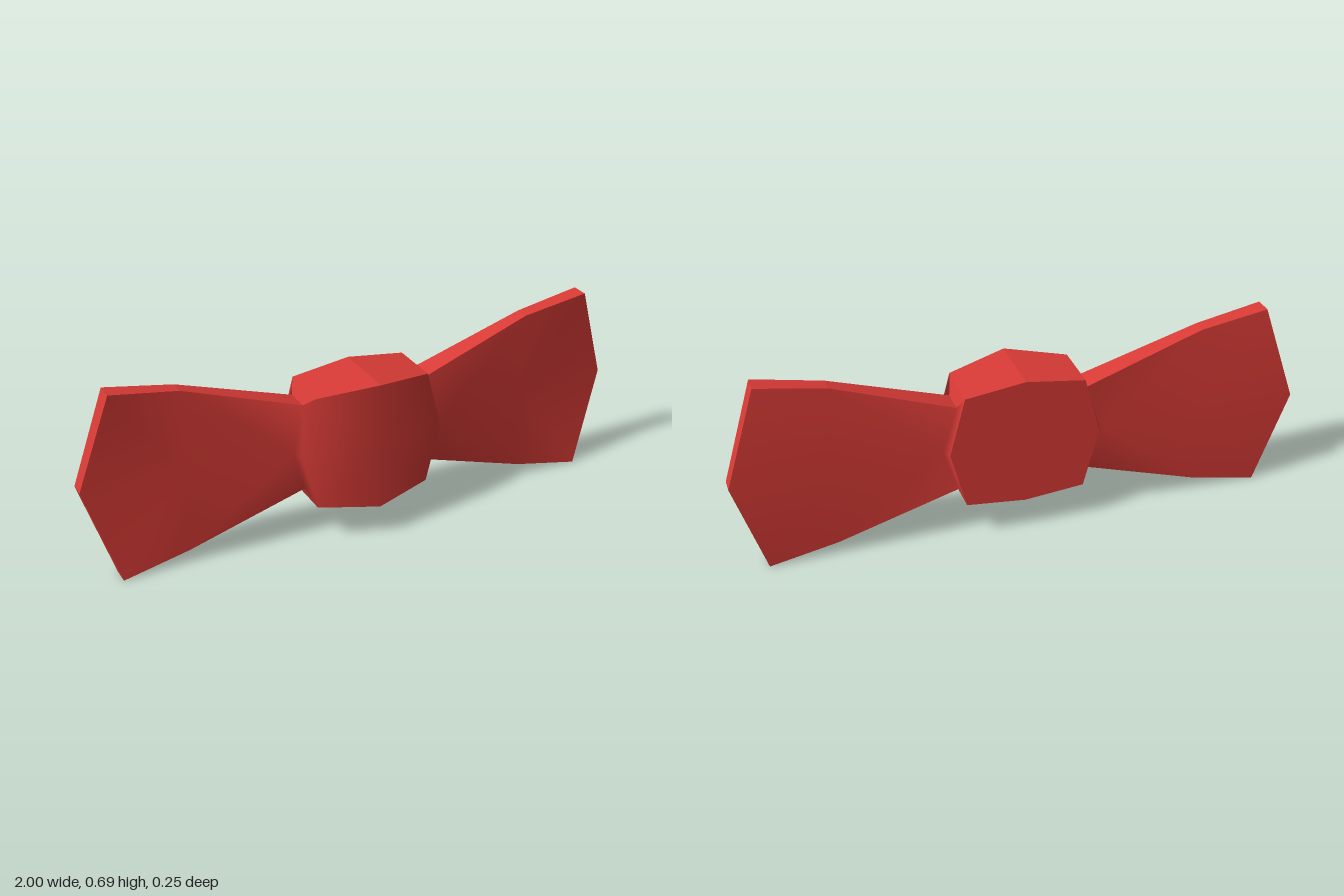
import * as THREE from 'three';

// Cross-sections of the right half, from the knot centre outwards:
// x at edges, x at middle, top y, bottom y, front z edge/middle, back z edge/middle
const MID_Y = 0.346;
const SECTIONS = [
  [0.0, 0.0, 0.584, 0.117, 0.123, 0.123, -0.123, -0.123],  // knot centre
  [0.21, 0.265, 0.555, 0.138, 0.065, 0.062, -0.123, -0.123], // knot rim
  [0.23, 0.28, 0.507, 0.185, 0.0, 0.033, -0.087, -0.088],  // wing root
  [0.65, 0.65, 0.648, 0.046, -0.02, -0.03, -0.072, -0.094], // wing middle
  [0.89, 1.0, 0.69, 0.0, -0.011, -0.046, -0.075, -0.1],    // wing tip
];

// Column of three points (top, middle, bottom) for section i = -4..4
function column(i, back) {
  const [xe, xm, top, bottom, fe, fm, be, bm] = SECTIONS[Math.abs(i)];
  const s = Math.sign(i);
  const ze = back ? be : fe;
  const zm = back ? bm : fm;
  return [[s * xe, top, ze], [s * xm, MID_Y, zm], [s * xe, bottom, ze]];
}

// Surface through columns of points; outward side faces +z when columns run along +x
function skin(columns, flip, flat, diagonal = () => false) {
  const rows = columns[0].length;
  const index = [];
  for (let c = 0; c < columns.length - 1; c++) {
    for (let r = 0; r < rows - 1; r++) {
      const a = c * rows + r, b = a + 1, d = a + rows, e = d + 1;
      const tris = diagonal(c, r) ? [[a, b, e], [a, e, d]] : [[a, b, d], [b, e, d]];
      for (const [p, q, t] of tris) index.push(...(flip ? [p, t, q] : [p, q, t]));
    }
  }
  let geometry = new THREE.BufferGeometry();
  geometry.setAttribute('position', new THREE.Float32BufferAttribute(columns.flat(2), 3));
  geometry.setIndex(index);
  if (flat) geometry = geometry.toNonIndexed();
  geometry.computeVertexNormals();
  return geometry;
}

// Fabric panel from section `from` to `to`, folded from the inner middle to the outer corners
function panel(from, to, back) {
  const columns = [];
  for (let i = from; i <= to; i++) columns.push(column(i, back));
  return skin(columns, back, false, (c, r) => (from + c < 0) === (r === 0));
}

export function createModel() {
  const group = new THREE.Group();
  group.name = 'bowTie';
  const red = new THREE.MeshStandardMaterial({ color: 0xd93b36 });
  red.name = 'red fabric';
  const add = (name, geometry) => {
    const mesh = new THREE.Mesh(geometry, red);
    mesh.name = name;
    group.add(mesh);
  };

  // Smooth front, running over the knot and both wings
  add('frontFabric', panel(-4, 4, false));

  // Back of each wing and the flat back of the knot
  add('rightWingBack', panel(-4, -1, true));
  add('knotBack', panel(-1, 1, true));
  add('leftWingBack', panel(1, 4, true));

  // Flat edges along the top and bottom
  for (const [name, row] of [['topEdge', 0], ['bottomEdge', 2]]) {
    const strip = [];
    for (let i = -4; i <= 4; i++) strip.push([column(i, true)[row], column(i, false)[row]]);
    add(name, skin(strip, row === 2, true));
  }

  // Pointed edges at the wing tips
  for (const [name, i] of [['rightTipEdge', -4], ['leftTipEdge', 4]]) {
    add(name, skin([column(i, false), column(i, true)], i < 0, true));
  }
  return group;
}
